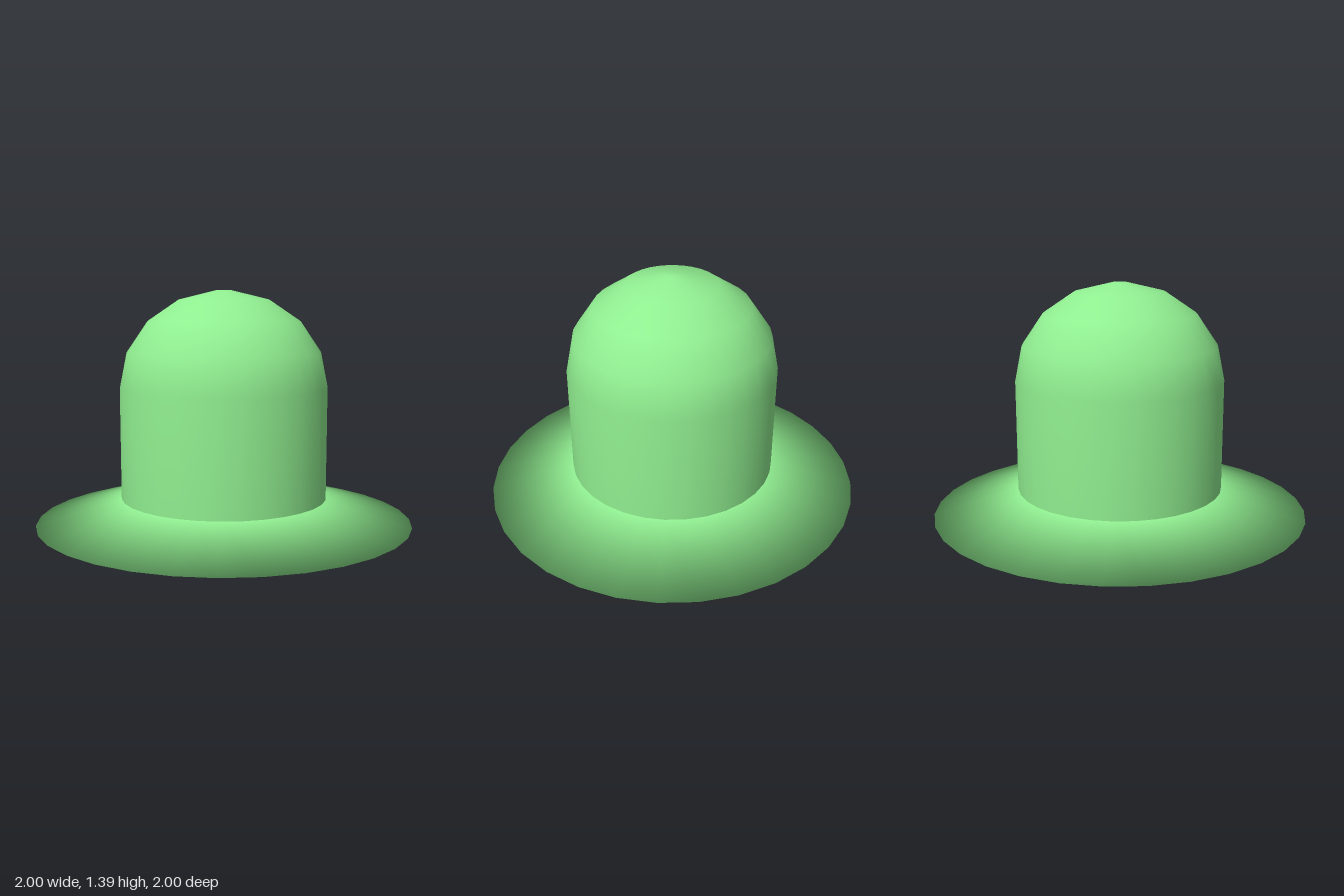
import * as THREE from 'three';

const SEGMENTS = 32;

export function createModel() {
  const group = new THREE.Group();
  group.name = 'hat';
  const material = new THREE.MeshStandardMaterial({ color: 0x90ee90, side: THREE.DoubleSide });

  // Spins a profile of [radius, height] pairs, listed from bottom to top
  const addLathe = (name, profile) => {
    const points = profile.map(([r, y]) => new THREE.Vector2(r, y));
    const mesh = new THREE.Mesh(new THREE.LatheGeometry(points, SEGMENTS), material);
    mesh.name = name;
    group.add(mesh);
  };

  // Brim: flat base, sharp outer rim, top sloping up to the crown
  addLathe('brim', [[0, 0], [0.355, 0], [1, 0.165], [0.55, 0.29]]);

  // Crown: straight wall under a faceted elliptical dome with a tiny flat top
  const radius = 0.55, wallTop = 0.88, domeHeight = 0.508;
  const crown = [[radius, 0.285]];
  for (let i = 0; i <= 4; i++) {
    const a = (i / 4) * 1.5;
    crown.push([radius * Math.cos(a), wallTop + domeHeight * Math.sin(a)]);
  }
  crown.push([0, wallTop + domeHeight]);
  addLathe('crown', crown);

  return group;
}
